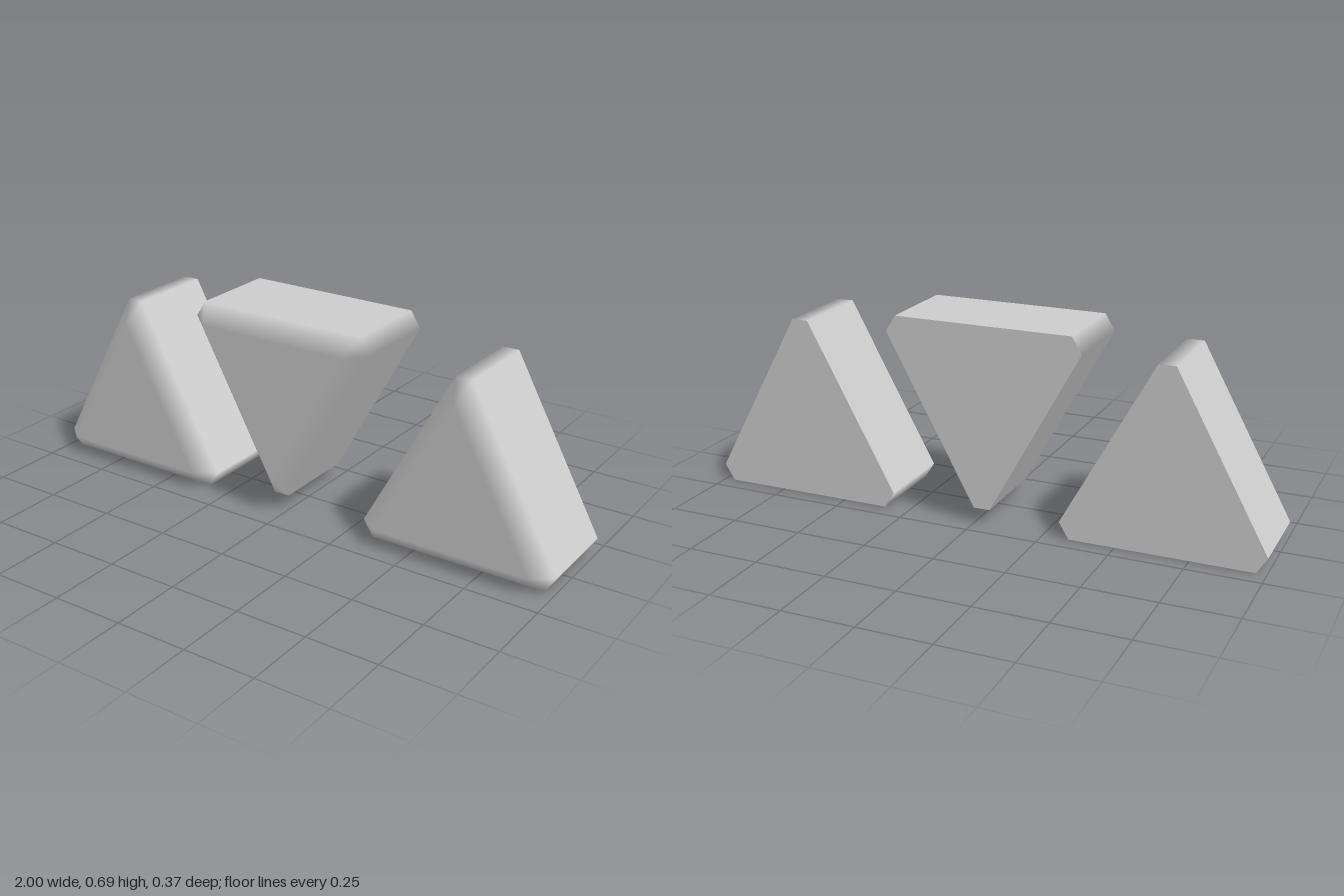
import * as THREE from 'three';

const FRONT = 0.187, BEVEL = 0.125, BACK = -0.187;

// Outer section, counter-clockwise from the bottom left; two points per wall
const section = [[-0.312, 0], [0.312, 0], [0.347, 0.056], [0.029, 0.637], [-0.029, 0.637], [-0.347, 0.056]];
// Front face: right corner, top corner, left corner
const face = [[0.276, 0.0625], [0, 0.5625], [-0.276, 0.0625]];

// Triangular wedge with clipped corners and a softly shaded front bevel
function wedgeGeometry() {
  const positions = [], normals = [], index = [];
  const add = ([x, y], z, n) => { positions.push(x, y, z); normals.push(...n); };

  // Each section point carries the normal of the wall it belongs to
  const wallNormals = [0, 2, 4].map((i) => {
    const [ax, ay] = section[i], [bx, by] = section[i + 1];
    const length = Math.hypot(bx - ax, by - ay);
    return [(by - ay) / length, (ax - bx) / length, 0];
  });
  section.forEach((p, i) => add(p, BACK, wallNormals[i >> 1]));   // 0-5
  section.forEach((p, i) => add(p, BEVEL, wallNormals[i >> 1]));  // 6-11
  face.forEach((p) => add(p, FRONT, [0, 0, 1]));                  // 12-14
  section.forEach((p) => add(p, BACK, [0, 0, -1]));               // 15-20

  // Walls and clipped corners
  for (let i = 0; i < 6; i++) {
    const j = (i + 1) % 6;
    index.push(i, j, j + 6, i, j + 6, i + 6);
  }
  // Front bevel: a quad along each wall, a triangle at each corner
  for (let k = 0; k < 3; k++) {
    const a = 6 + 2 * k, b = a + 1, next = 6 + (2 * k + 2) % 6;
    const start = 12 + (k + 2) % 3, end = 12 + k;
    index.push(a, b, end, a, end, start, b, next, end);
  }
  // Front face and flat back
  index.push(12, 13, 14);
  for (let i = 1; i < 5; i++) index.push(15, 15 + i + 1, 15 + i);

  const geometry = new THREE.BufferGeometry();
  geometry.setAttribute('position', new THREE.Float32BufferAttribute(positions, 3));
  geometry.setAttribute('normal', new THREE.Float32BufferAttribute(normals, 3));
  geometry.setIndex(index);
  return geometry;
}

export function createModel() {
  const group = new THREE.Group();
  group.name = 'triangleBlocks';
  const grey = new THREE.MeshStandardMaterial({ color: 0xcccccc });
  grey.name = 'light grey';
  const geometry = wedgeGeometry();

  const addWedge = (name, x, y, turn) => {
    const mesh = new THREE.Mesh(geometry, grey);
    mesh.name = name;
    mesh.position.set(x, y, 0);
    mesh.rotation.z = turn;
    group.add(mesh);
  };
  addWedge('rightWedge', -0.653, 0, 0);
  addWedge('middleInvertedWedge', -0.028, 0.692, Math.PI);
  addWedge('leftWedge', 0.653, 0, 0);
  return group;
}
